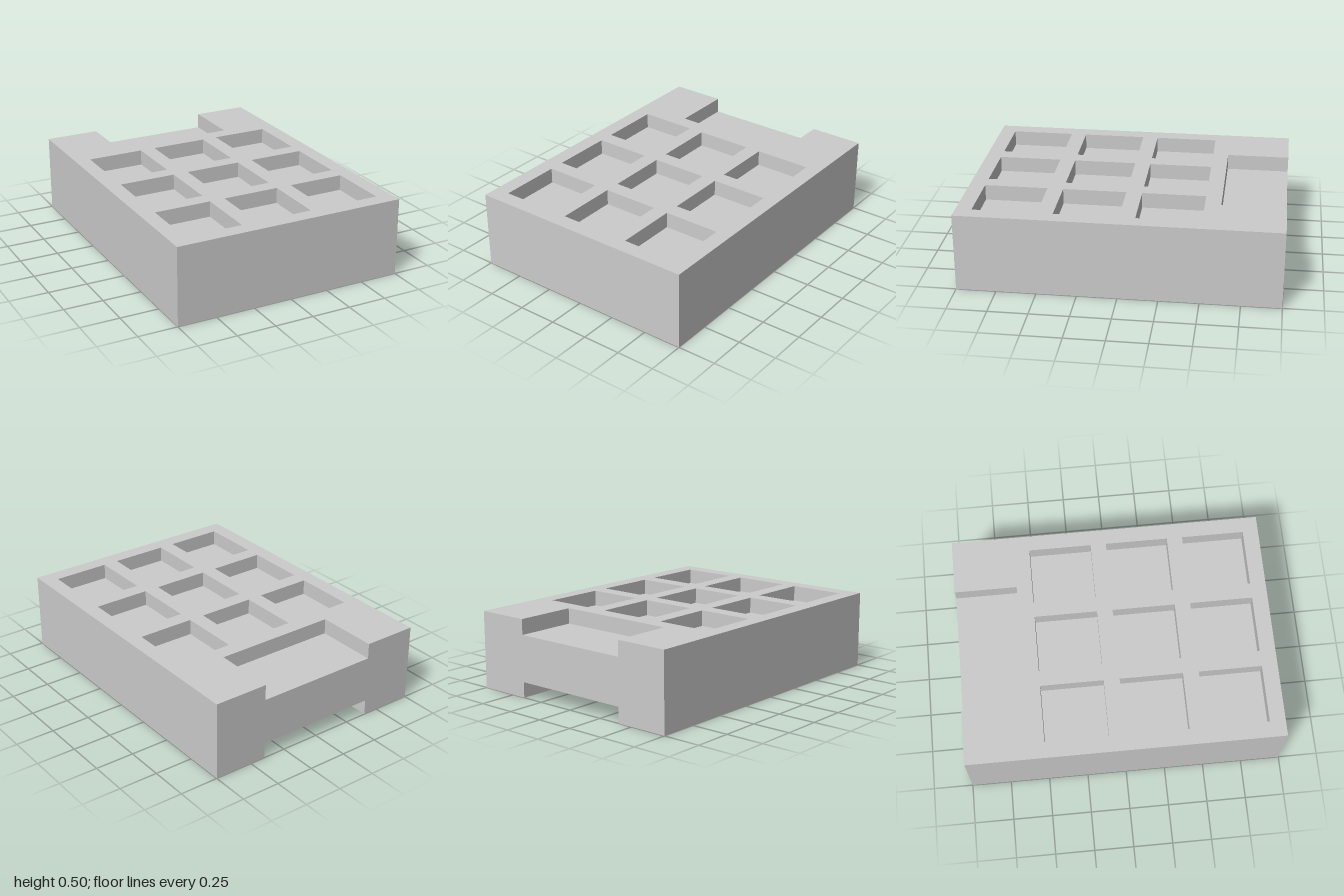
import * as THREE from 'three';

const W = 1.5, H = 0.5, D = 2;          // block size
const DEPTH = 0.1;                      // depth of every recess
const POCKET_W = 1.1 / 3, POCKET_D = 0.4;
const NOTCH_W = 0.8, NOTCH_D = 0.4;

const material = new THREE.MeshStandardMaterial({ color: 0xcccccc, flatShading: true });

function addMesh(parent, name, geometry, x = 0, y = 0, z = 0) {
  const mesh = new THREE.Mesh(geometry, material);
  mesh.name = name;
  mesh.position.set(x, y, z);
  parent.add(mesh);
  return mesh;
}

const polygon = (points) => points.map(([x, y]) => new THREE.Vector2(x, y));

// Inward-facing box lining a recess; openFaces are left out (2 = top, 5 = back)
function recessGeometry(w, d, openFaces) {
  const box = new THREE.BoxGeometry(w, DEPTH, d);
  const kept = Array.from(box.index.array).filter((_, i) => !openFaces.includes(Math.floor(i / 6)));
  box.setIndex(kept.reverse());
  const lining = box.toNonIndexed();
  lining.computeVertexNormals();
  return lining;
}

// One broad face: a pierced deck with nine pockets and a notch open to the back
function createRecessedFace(name) {
  const face = new THREE.Group();
  face.name = name;
  const n = NOTCH_W / 2, back = D / 2;
  const deck = new THREE.Shape(polygon([
    [-W / 2, -back], [W / 2, -back], [W / 2, back], [n, back],
    [n, back - NOTCH_D], [-n, back - NOTCH_D], [-n, back], [-W / 2, back],
  ]));
  const midY = H / 2 - DEPTH / 2;
  for (const z of [-0.3, 0.2, 0.7]) {
    for (const column of [-1, 0, 1]) {
      const x = column * (POCKET_W + 0.1);
      const a = POCKET_W / 2, b = POCKET_D / 2;
      deck.holes.push(new THREE.Path(polygon([
        [x - a, -z - b], [x - a, -z + b], [x + a, -z + b], [x + a, -z - b],
      ])));
      addMesh(face, 'pocket', recessGeometry(POCKET_W, POCKET_D, [2]), x, midY, z);
    }
  }
  addMesh(face, 'deck', new THREE.ShapeGeometry(deck).rotateX(-Math.PI / 2), 0, H / 2, 0);
  addMesh(face, 'backNotch', recessGeometry(NOTCH_W, NOTCH_D, [2, 5]), 0, midY, -(D - NOTCH_D) / 2);
  return face;
}

export function createModel() {
  const model = new THREE.Group();
  model.name = 'recessedBlock';
  const body = new THREE.Group();
  body.name = 'body';
  body.position.y = H / 2;
  model.add(body);

  // Identical top and bottom
  const bottom = createRecessedFace('bottomFace');
  bottom.rotation.z = Math.PI;
  body.add(createRecessedFace('topFace'), bottom);

  // Plain front and side walls
  addMesh(body, 'frontWall', new THREE.PlaneGeometry(W, H), 0, 0, D / 2);
  for (const s of [-1, 1]) {
    addMesh(body, s > 0 ? 'leftWall' : 'rightWall',
      new THREE.PlaneGeometry(D, H).rotateY(s * Math.PI / 2), s * W / 2, 0, 0);
  }

  // Back wall, cut away where the notches run out
  const w = W / 2, h = H / 2, n = NOTCH_W / 2, m = h - DEPTH;
  const back = new THREE.Shape(polygon([
    [-w, -h], [-n, -h], [-n, -m], [n, -m], [n, -h], [w, -h],
    [w, h], [n, h], [n, m], [-n, m], [-n, h], [-w, h],
  ]));
  addMesh(body, 'backWall', new THREE.ShapeGeometry(back).rotateY(Math.PI), 0, 0, -D / 2);

  return model;
}
